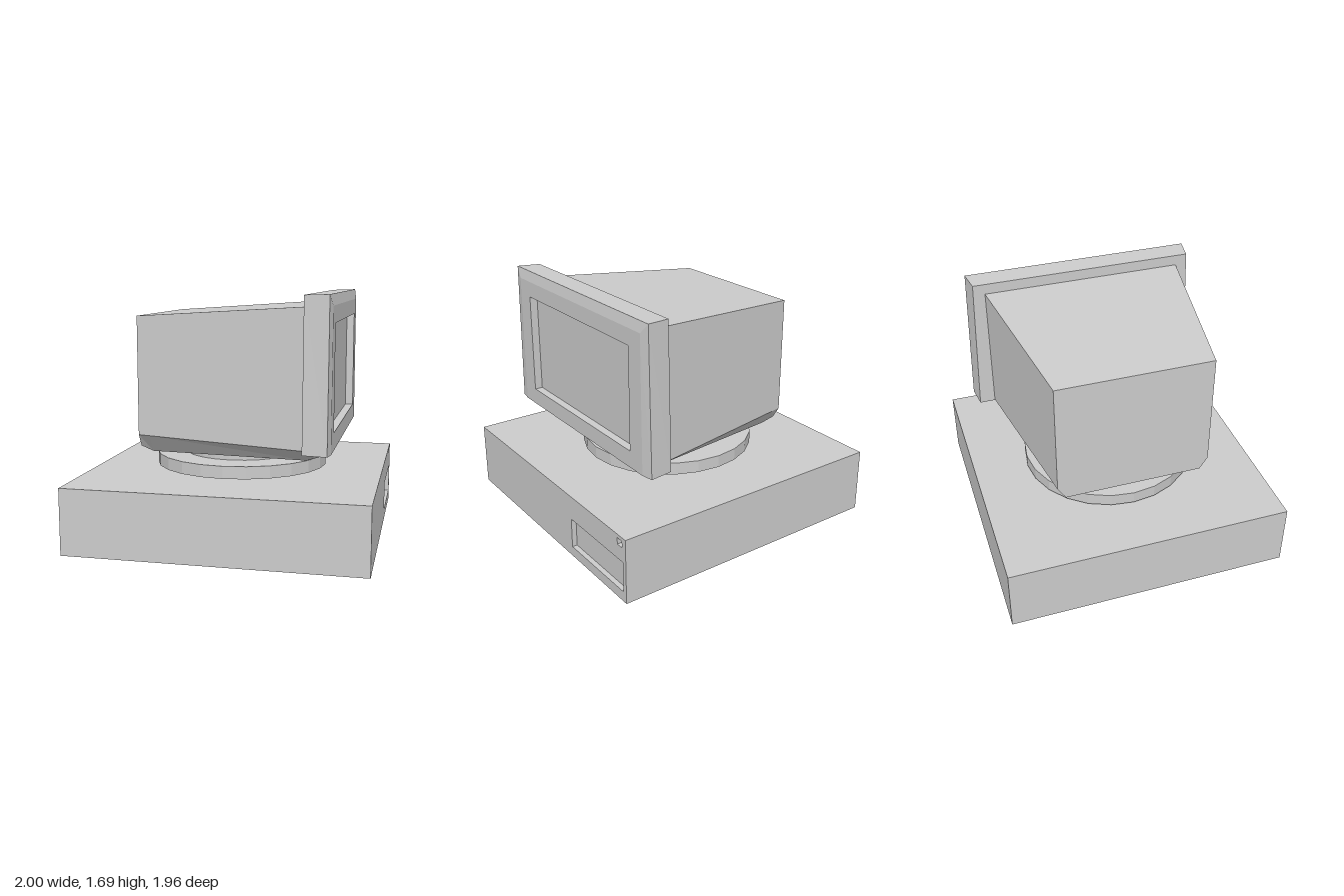
import * as THREE from 'three';

const material = new THREE.MeshStandardMaterial({ color: 0xcccccc, flatShading: true });

function part(name, geometry) {
  const mesh = new THREE.Mesh(geometry, material);
  mesh.name = name;
  return mesh;
}

// Joins rings of [x, y, z] points, ordered from back (-x) to front (+x), and caps both ends
function loft(rings) {
  const positions = [];
  const tri = (a, b, c) => positions.push(...a, ...b, ...c);
  const n = rings[0].length;
  for (let r = 0; r < rings.length - 1; r++) {
    const a = rings[r], b = rings[r + 1];
    for (let i = 0; i < n; i++) {
      const j = (i + 1) % n;
      tri(a[i], a[j], b[j]);
      tri(a[i], b[j], b[i]);
    }
  }
  const first = rings[0], last = rings[rings.length - 1];
  for (let i = 1; i < n - 1; i++) {
    tri(first[0], first[i + 1], first[i]);
    tri(last[0], last[i], last[i + 1]);
  }
  const geometry = new THREE.BufferGeometry();
  geometry.setAttribute('position', new THREE.Float32BufferAttribute(positions, 3));
  geometry.computeVertexNormals();
  return geometry;
}

// Mirrors a half profile of [y, half width] points, listed bottom to top, across z = 0
function ring(x, half) {
  return [
    ...half.map(([y, w]) => [x, y, -w]),
    ...half.slice().reverse().map(([y, w]) => [x, y, w]),
  ];
}

// Rectangle path in the front panel plane, where u runs along -z
function rectangle(PathType, u0, u1, y0, y1) {
  const path = new PathType();
  path.moveTo(u0, y0);
  path.lineTo(u1, y0);
  path.lineTo(u1, y1);
  path.lineTo(u0, y1);
  path.closePath();
  return path;
}

// System case with a recessed drive bay and button in the front panel
function createCase() {
  const group = new THREE.Group();
  group.name = 'systemCase';
  const panelDepth = 0.035, height = 0.45, halfWidth = 0.98;

  const length = 2 - panelDepth;
  const box = new THREE.BoxGeometry(length, height, halfWidth * 2);
  box.translate(-1 + length / 2, height / 2, 0);
  group.add(part('caseBody', box));

  const shape = rectangle(THREE.Shape, -halfWidth, halfWidth, 0, height);
  shape.holes.push(rectangle(THREE.Path, 0.33, 0.95, 0.07, 0.28));
  shape.holes.push(rectangle(THREE.Path, 0.89, 0.94, 0.38, 0.425));
  const panel = new THREE.ExtrudeGeometry(shape, { depth: panelDepth, bevelEnabled: false });
  panel.rotateY(Math.PI / 2);
  panel.translate(1 - panelDepth, 0, 0);
  group.add(part('frontPanel', panel));
  return group;
}

// Round swivel foot and neck
function createStand() {
  const group = new THREE.Group();
  group.name = 'swivelStand';
  const disc = (name, radius, y0, y1) => {
    const geometry = new THREE.CylinderGeometry(radius, radius, y1 - y0, 24);
    geometry.translate(-0.005, (y0 + y1) / 2, 0);
    group.add(part(name, geometry));
  };
  disc('swivelDisc', 0.605, 0.475, 0.56);
  disc('swivelNeck', 0.405, 0.56, 0.62);
  return group;
}

// Tapered monitor housing with a chamfered belly, and a bezel with a sunken screen
function createMonitor() {
  const group = new THREE.Group();
  group.name = 'monitor';

  group.add(part('monitorHousing', loft([
    ring(-0.605, [[0.65, 0.48], [0.735, 0.535], [1.535, 0.535]]),
    ring(-0.53, [[0.61, 0.45], [0.733, 0.546], [1.54, 0.546]]),
    ring(0.54, [[0.61, 0.54], [0.705, 0.708], [1.61, 0.708]]),
    ring(0.63, [[0.655, 0.635], [0.704, 0.72], [1.61, 0.72]]),
    ring(0.64, [[0.66, 0.645], [0.704, 0.72], [0.75, 0.72]]),
    ring(0.715, [[0.699, 0.725], [0.703, 0.73], [0.72, 0.73]]),
  ])));

  group.add(part('screenBezel', loft([
    ring(0.55, [[0.7, 0.82], [1.685, 0.79]]),
    ring(0.71, [[0.7, 0.84], [1.69, 0.815]]),
    ring(0.725, [[0.7, 0.76], [1.62, 0.75]]),
    ring(0.725, [[0.815, 0.623], [1.51, 0.623]]),
    ring(0.67, [[0.815, 0.623], [1.51, 0.623]]),
  ])));
  return group;
}

export function createModel() {
  const model = new THREE.Group();
  model.name = 'desktopComputer';
  model.add(createCase(), createStand(), createMonitor());
  return model;
}
